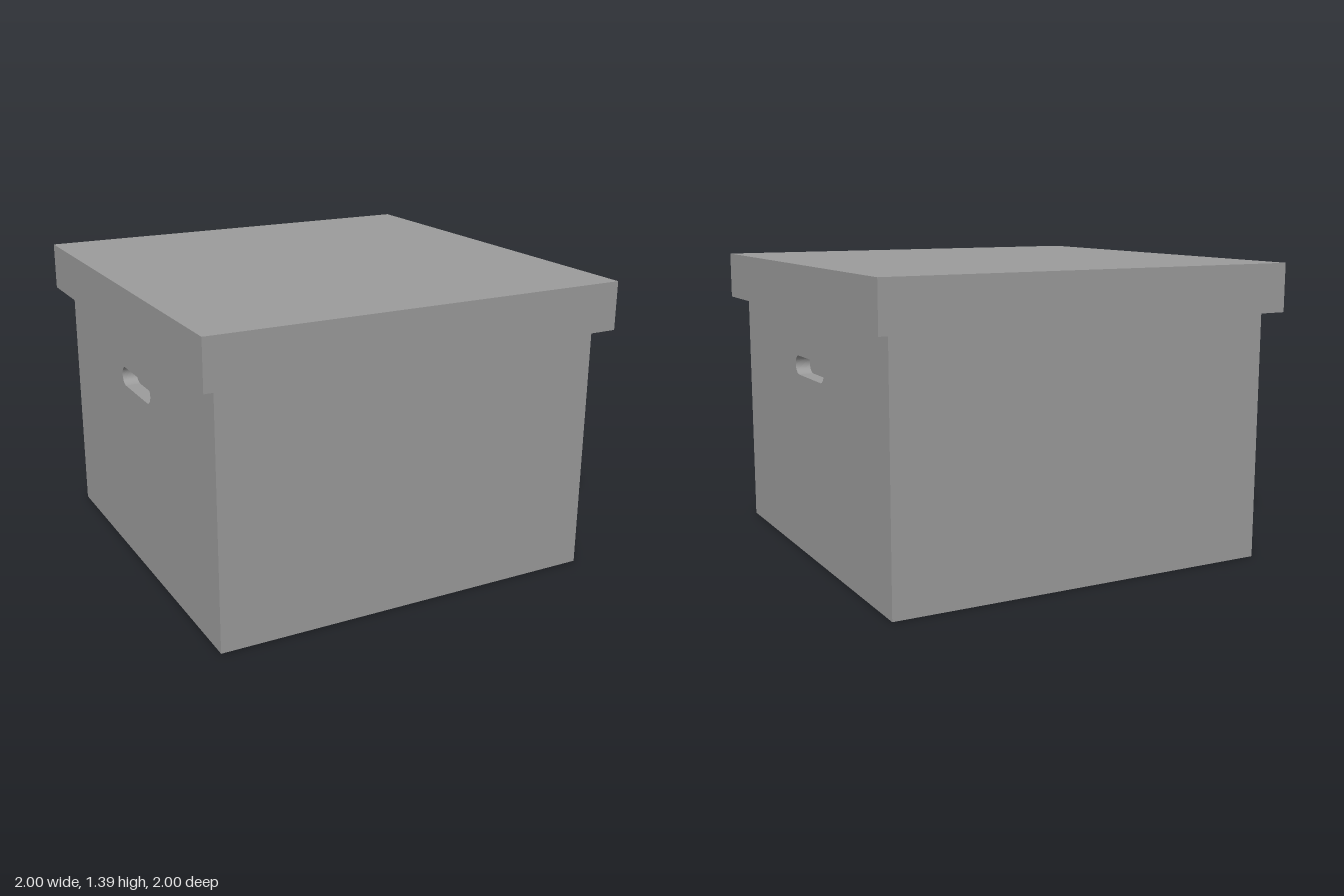
import * as THREE from 'three';

const W = 0.93;        // half width of the body
const BODY_H = 1.17;   // height of the body up to the lid
const LID_H = 0.225;
const WALL = 0.07;     // depth of the hand-hold recess

function slotPath(halfLength, radius, y) {
  const c = halfLength - radius;
  const path = new THREE.Path();
  path.absarc(c, y, radius, -Math.PI / 2, Math.PI / 2, false);
  path.absarc(-c, y, radius, Math.PI / 2, Math.PI * 1.5, false);
  path.closePath();
  return path;
}

export function createModel() {
  const group = new THREE.Group();
  const material = new THREE.MeshStandardMaterial({ color: 0x9b9b9b });

  const add = (name, geometry, x, y, z) => {
    const mesh = new THREE.Mesh(geometry, material);
    mesh.name = name;
    mesh.position.set(x, y, z);
    group.add(mesh);
    return mesh;
  };

  // Box body between the two handle walls
  add('body', new THREE.BoxGeometry(2 * (W - WALL), BODY_H, 2 * W), 0, BODY_H / 2, 0);

  // Side walls with a rounded hand-hold slot
  const wall = new THREE.Shape();
  wall.moveTo(-W, 0);
  wall.lineTo(W, 0);
  wall.lineTo(W, BODY_H);
  wall.lineTo(-W, BODY_H);
  wall.closePath();
  wall.holes.push(slotPath(0.19, 0.045, 0.91));
  const wallGeometry = new THREE.ExtrudeGeometry(wall, {
    depth: WALL, bevelEnabled: false, curveSegments: 16,
  });
  for (const [name, side] of [['leftHandleWall', 1], ['rightHandleWall', -1]]) {
    add(name, wallGeometry, side * (W - WALL), 0, 0).rotation.y = side * Math.PI / 2;
  }

  // Overhanging lid
  add('lid', new THREE.BoxGeometry(2, LID_H, 2), 0, BODY_H + LID_H / 2, 0);

  return group;
}
